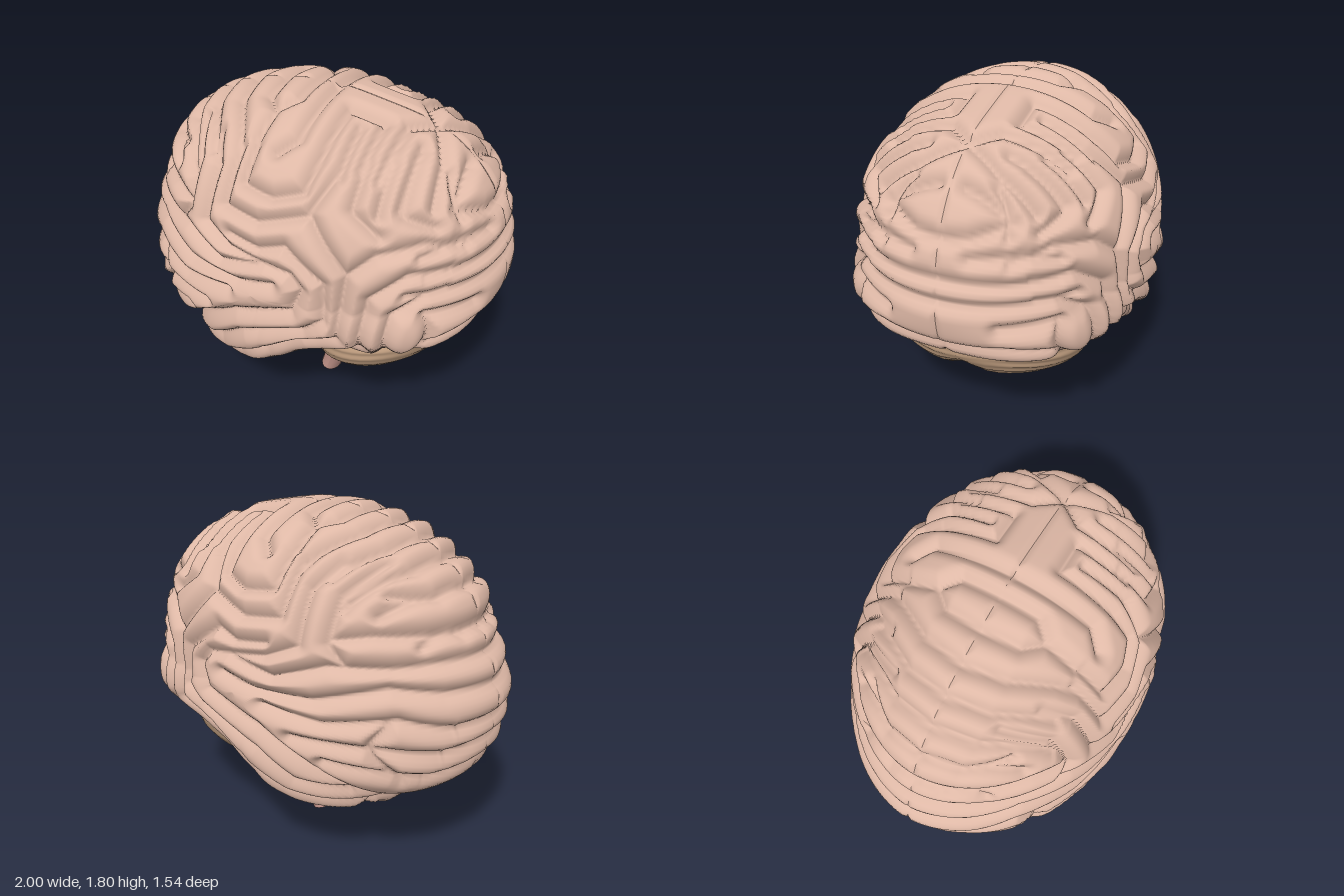
import * as THREE from 'three';

const WIDTH = 0.77, CY = 1.0;

// Side profile of the cerebrum, stored as radius by angle around (0, CY)
const profile = [
  [1, 1], [0.985, 1.17], [0.92, 1.38], [0.79, 1.56], [0.6, 1.69], [0.3, 1.765], [0.05, 1.8], [-0.2, 1.785],
  [-0.45, 1.725], [-0.63, 1.635], [-0.8, 1.48], [-0.9, 1.27], [-0.96, 1.12], [-1, 0.97], [-0.98, 0.8], [-0.93, 0.64],
  [-0.84, 0.53], [-0.71, 0.465], [-0.64, 0.49], [-0.61, 0.415], [-0.52, 0.32], [-0.34, 0.265], [-0.12, 0.28],
  [0.05, 0.4], [0.22, 0.56], [0.42, 0.65], [0.72, 0.7], [0.88, 0.75], [0.97, 0.86],
];
const wrap = (a) => (a + Math.PI * 4) % (Math.PI * 2);
const polar = new THREE.CatmullRomCurve3(profile.map(([x, y]) => new THREE.Vector3(x, y - CY, 0)), true)
  .getPoints(250).slice(0, -1)
  .map((p) => [wrap(Math.atan2(p.y, p.x)), Math.hypot(p.x, p.y)])
  .sort((a, b) => a[0] - b[0]);

function radius(angle) {
  const a = wrap(angle);
  let k = polar.findIndex((p) => p[0] > a);
  if (k <= 0) k = k < 0 ? polar.length : 0;
  const lo = polar[(k - 1 + polar.length) % polar.length], hi = polar[k % polar.length];
  const span = wrap(hi[0] - lo[0]) || 1;
  return lo[1] + (hi[1] - lo[1]) * wrap(a - lo[0]) / span;
}
// The underside is boxier than the crown, most of all at the rear; the forehead is more pointed
function power(angle) {
  const down = Math.max(0, -Math.sin(angle)), c = Math.cos(angle);
  return 2.12 + 0.75 * down - 0.28 * Math.max(0, -c) + 1.8 * down * Math.max(0, c);
}

// Half width of the smooth cerebrum at a side position
function halfWidth(x, y) {
  const a = Math.atan2(y - CY, x), n = power(a);
  const s = Math.min(1, Math.hypot(x, y - CY) / radius(a));
  return WIDTH * Math.pow(1 - Math.pow(s, n), 1 / n);
}
function bisect(lo, hi, inside) {
  for (let i = 0; i < 18; i++) {
    const mid = (lo + hi) / 2;
    if (inside(mid)) lo = mid; else hi = mid;
  }
  return lo;
}
// Put a drawn point on the surface: side = (x, y), top and below = (x, z), back and front = (z, y)
const lift = {
  side(x, y) {
    const a = Math.atan2(y - CY, x), s = Math.min(1, radius(a) / Math.hypot(x, y - CY));
    return new THREE.Vector3(x * s, CY + (y - CY) * s, halfWidth(x, y));
  },
  top: (x, z) => new THREE.Vector3(x, bisect(CY, 1.82, (y) => halfWidth(x, y) > z), z),
  below: (x, z) => new THREE.Vector3(x, bisect(CY, 0.2, (y) => halfWidth(x, y) > z), z),
  back: (z, y) => new THREE.Vector3(bisect(0, 1.05, (x) => halfWidth(x, y) > z), y, z),
  front: (z, y) => new THREE.Vector3(bisect(0, -1.05, (x) => halfWidth(x, y) > z), y, z),
};

// Grooves, each a flat list of point pairs
const temporal = [
  [0.06, 1.18, 0.19, 1.16, 0.25, 1.09, 0.2, 0.96, -0.12, 0.85, -0.35, 0.7, -0.62, 0.5],
  [-0.15, 1.27, 0.02, 1.25, 0.15, 1.29, 0.35, 1.14, 0.36, 0.94, 0.25, 0.85, -0.1, 0.71, -0.28, 0.57, -0.5, 0.52],
  [0.45, 1.2, 0.42, 0.84, 0.22, 0.75, 0.0, 0.59, -0.2, 0.47, -0.58, 0.41],
  [0.52, 0.79, 0.28, 0.67, 0.06, 0.49, -0.18, 0.37, -0.5, 0.34],
];
const frontal = [
  [-0.85, 1.2, -0.7, 1.19, -0.45, 1.2, -0.2, 1.12, 0.06, 1.18],
  [-0.88, 1.06, -0.7, 1.1, -0.4, 1.03, -0.1, 1.04, 0.1, 1.08],
  [-0.92, 0.88, -0.75, 0.95, -0.45, 0.92, -0.15, 0.97],
  [-0.88, 0.75, -0.7, 0.8, -0.5, 0.82, -0.3, 0.83],
  [-0.83, 0.62, -0.65, 0.68, -0.45, 0.72],
  [-0.73, 0.95, -0.64, 0.81, -0.75, 0.62],
  [-0.8, 1.33, -0.6, 1.34, -0.45, 1.32],
  [-0.74, 1.48, -0.6, 1.5],
  [-0.53, 1.62, -0.44, 1.5, -0.44, 1.3, -0.52, 1.2],
  [-0.37, 1.62, -0.3, 1.52, -0.31, 1.28, -0.15, 1.21, 0.06, 1.18],
];
const parietal = [
  [-0.2, 1.62, -0.2, 1.39, 0.0, 1.37, 0.24, 1.44],
  [-0.12, 1.64, -0.12, 1.5, 0.05, 1.48, 0.19, 1.52, 0.21, 1.64],
  [0.32, 1.62, 0.24, 1.45, 0.45, 1.2, 0.56, 1.3, 0.74, 1.34, 0.88, 1.29],
  [0.42, 1.64, 0.42, 1.48, 0.56, 1.38],
  [0.52, 1.64, 0.53, 1.46],
  [0.61, 1.62, 0.63, 1.46, 0.76, 1.4],
  [0.74, 1.57, 0.84, 1.4],
];
const occipital = [
  [0.52, 0.79, 0.55, 1.08, 0.7, 1.2, 0.85, 1.2],
  [0.62, 0.74, 0.65, 0.99, 0.78, 1.09, 0.85, 1.1],
];
const crown = [
  [-0.88, 0, -0.86, 0.14, -0.77, 0.34],
  [-0.79, 0, -0.75, 0.2, -0.6, 0.45],
  [-0.67, 0, -0.63, 0.22, -0.46, 0.53],
  [-0.54, 0, -0.5, 0.22, -0.36, 0.48],
  [-0.39, 0, -0.35, 0.22, -0.24, 0.42, -0.2, 0.52],
  [-0.22, 0, -0.2, 0.2, -0.12, 0.29, -0.04, 0.2, -0.04, 0],
  [-0.12, 0.29, -0.13, 0.45],
  [0.08, 0.02, 0.08, 0.42, 0.0, 0.5],
  [0.4, 0.45, 0.4, 0.17, 0.22, 0.17, 0.21, 0.48],
  [0.31, 0.25, 0.32, 0.5],
  [0.6, 0, 0.5, 0.13, 0.49, 0.45],
  [0.6, 0, 0.7, 0.2, 0.73, 0.38],
  [0.6, 0.2, 0.61, 0.48],
  [0.78, 0.06, 0.8, 0.25],
];
const rear = [
  [0, 0.83, 0.3, 0.84, 0.5, 0.81],
  [0.52, 0.75, 0.52, 0.98, 0.28, 0.97],
  [0, 1.09, 0.57, 1.09],
  [0, 1.2, 0.3, 1.19, 0.5, 1.19],
  [0.14, 1.31, 0.35, 1.32, 0.5, 1.28],
  [0, 1.38, 0.13, 1.39, 0.3, 1.45],
];
const brow = [
  [0, 1.34, 0.35, 1.33], [0, 1.2, 0.35, 1.2], [0, 1.05, 0.3, 1.06],
  [0, 0.88, 0.25, 0.88], [0, 0.76, 0.3, 0.75], [0, 0.64, 0.35, 0.62],
];
const underside = [
  [-0.54, 0.36, -0.3, 0.42, -0.02, 0.45, 0.16, 0.52],
  [-0.46, 0, -0.44, 0.34], [-0.1, 0.08, -0.12, 0.42], [0.06, 0.15, 0.03, 0.43],
];

function makeGrooves() {
  const lines = [];
  const draw = (list, view) => list.forEach((g) => {
    for (let i = 0; i + 3 < g.length; i += 2) {
      const steps = Math.ceil(Math.hypot(g[i + 2] - g[i], g[i + 3] - g[i + 1]) / 0.05);
      const at = (k) => lift[view](g[i] + (g[i + 2] - g[i]) * k / steps, g[i + 1] + (g[i + 3] - g[i + 1]) * k / steps);
      for (let k = 0; k < steps; k++) lines.push(new THREE.Line3(at(k), at(k + 1)));
    }
  });
  [temporal, frontal, parietal, occipital].forEach((l) => draw(l, 'side'));
  draw(crown, 'top');
  draw(rear, 'back');
  draw(brow, 'front');
  draw(underside, 'below');
  return lines;
}

// One hemisphere: a dome from the midline rim out to the side, creased along the grooves
function hemisphereGeometry(mirror) {
  const N = 300, M = 115, grooves = makeGrooves(), pos = [], idx = [];
  const p = new THREE.Vector3(), q = new THREE.Vector3(), inward = new THREE.Vector3();
  for (let j = 0; j <= M; j++) for (let i = 0; i < N; i++) {
    const a = i / N * Math.PI * 2, t = j / M * Math.PI / 2, n = power(a);
    const r = radius(a) * Math.pow(Math.sin(t), 2 / n);
    p.set(Math.cos(a) * r, CY + Math.sin(a) * r, j === M ? 0 : WIDTH * Math.pow(Math.cos(t), 2 / n));
    let d = 1;
    for (const line of grooves) {
      if (Math.abs(line.start.x - p.x) > 0.2 || Math.abs(line.start.y - p.y) > 0.2) continue;
      d = Math.min(d, line.closestPointToPoint(p, true, q).distanceTo(p));
    }
    const crease = 0.055 * Math.pow(Math.max(0, 1 - d / 0.08), 2);
    const fissure = 0.012 * Math.max(0, 1 - p.z / 0.025);
    inward.set(-p.x, -(p.y - CY) / 0.58, -p.z / 0.59).normalize();
    if (j === M) inward.z = 0;
    p.addScaledVector(inward, Math.max(crease, fissure));
    pos.push(p.x, p.y, Math.max(0, p.z) * mirror);
  }
  for (let j = 0; j < M; j++) for (let i = 0; i < N; i++) {
    const k = (i + 1) % N, a = j * N + i, b = j * N + k, c = a + N, d = b + N;
    if (mirror > 0) idx.push(a, c, d, a, d, b); else idx.push(a, d, c, a, b, d);
  }
  const g = new THREE.BufferGeometry();
  g.setAttribute('position', new THREE.Float32BufferAttribute(pos, 3));
  g.setIndex(idx);
  g.computeVertexNormals();
  return g;
}

function reshape(geometry, rule) {
  const pos = geometry.attributes.position, v = new THREE.Vector3();
  for (let i = 0; i < pos.count; i++) {
    rule(v.fromBufferAttribute(pos, i));
    pos.setXYZ(i, v.x, v.y, v.z);
  }
  geometry.computeVertexNormals();
  return geometry;
}

export function createModel() {
  const group = new THREE.Group();
  const add = (name, geometry, color) => {
    const mesh = new THREE.Mesh(geometry, new THREE.MeshStandardMaterial({ color, side: THREE.DoubleSide }));
    mesh.name = name;
    group.add(mesh);
  };
  add('leftHemisphere', hemisphereGeometry(1), 0xdeb8a6);
  add('rightHemisphere', hemisphereGeometry(-1), 0xdeb8a6);

  // Cerebellum: tilted bowl, widest near its top, with fine uneven leaves and a notch under the middle
  add('cerebellum', reshape(new THREE.SphereGeometry(1, 48, 90), (v) => {
    const lat = Math.asin(THREE.MathUtils.clamp(v.y, -1, 1));
    const leaf = 1 + 0.009 * Math.sin(lat * 27 + 2 * v.x + 2 * Math.sin(v.z * 5)) * (0.6 + 0.4 * Math.sin(v.z * 7 + lat * 3));
    const notch = v.y < 0 ? 0.35 * v.y * Math.exp(-Math.pow(v.z / 0.14, 2)) : 0;
    v.set(0.41 + v.x * 0.385 * leaf + 0.03 * v.y * Math.max(0, v.x),
      0.545 + (v.y - notch) * 0.205 * leaf + v.x * 0.11 + 0.06 * v.z * v.z, v.z * 0.525 * leaf);
  }), 0xb8977a);

  // Brain stem: two tapering halves with flat inner faces, leaning forward as they descend
  for (const s of [1, -1]) {
    add(s > 0 ? 'leftStem' : 'rightStem', reshape(new THREE.CylinderGeometry(1, 1, 1, 20, 8), (v) => {
      const h = v.y + 0.5, flare = h * h * (3 - 2 * h);
      v.set(0.045 + 0.16 * h + v.x * (0.055 + 0.11 * flare), h * 0.44 - v.x * 0.012 * (1 - h) + 0.01 * (1 - h),
        s * (0.01 + Math.max(0, s * v.z) * (0.083 + 0.075 * flare)));
    }), 0xc4958b);
  }
  return group;
}
